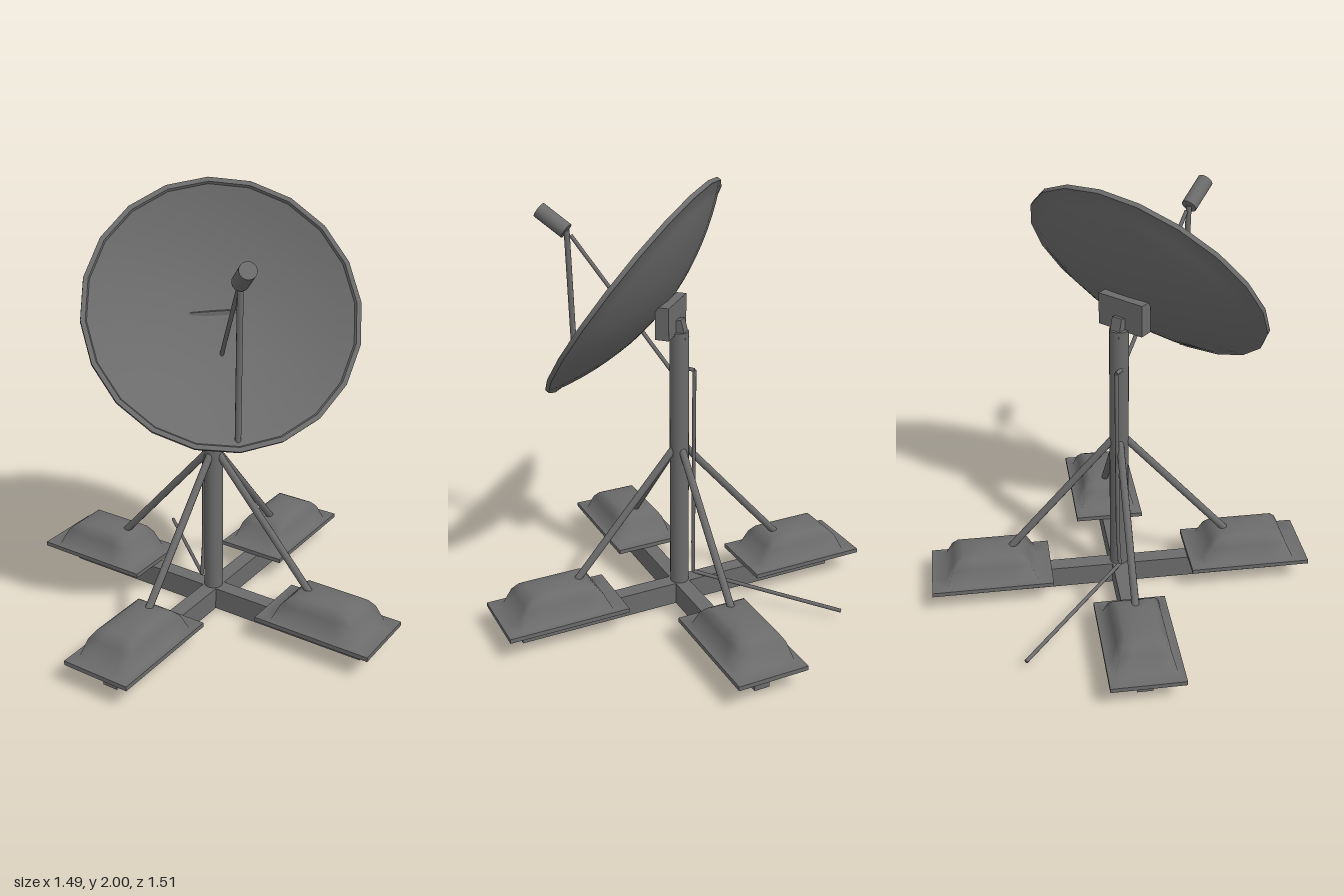
import * as THREE from 'three';
import { toCreasedNormals } from 'three/addons/utils/BufferGeometryUtils.js';

const material = new THREE.MeshStandardMaterial({ color: 0x6b6b6b });
const V = (x, y, z) => new THREE.Vector3(x, y, z);
const TILT = THREE.MathUtils.degToRad(55); // dish axis, from straight up towards the front

function add(parent, name, geometry, x = 0, y = 0, z = 0) {
  const mesh = new THREE.Mesh(geometry, material);
  mesh.name = name;
  mesh.position.set(x, y, z);
  parent.add(mesh);
  return mesh;
}

// Round bar between two points
function bar(parent, name, a, b, radius, sides = 10) {
  const dir = b.clone().sub(a);
  const mesh = add(parent, name, new THREE.CylinderGeometry(radius, radius, dir.length(), sides));
  mesh.position.copy(a).add(b).multiplyScalar(0.5);
  mesh.quaternion.setFromUnitVectors(V(0, 1, 0), dir.normalize());
  return mesh;
}

// Ballast: flat plate flowing smoothly into a tapered, softly domed bag.
// Each layer holds height, half length and half width.
function ballastGeometry() {
  const layers = [
    [0, 0.28, 0.164], [0.02, 0.28, 0.164], [0.02, 0.213, 0.134],
    [0.095, 0.178, 0.112], [0.125, 0.15, 0.092], [0.136, 0.128, 0.077],
  ];
  const top = layers.length - 1;
  const g = new THREE.BoxGeometry(2, top, 2, 4, top, 4);
  const p = g.attributes.position;
  for (let i = 0; i < p.count; i++) {
    const level = Math.round(p.getY(i) + top / 2);
    const [height, length, width] = layers[level];
    const u = p.getX(i), w = p.getZ(i);
    const dome = level === top ? 0.012 * (1 - u * u) * (1 - w * w) : 0;
    p.setXYZ(i, u * length, height + dome, w * width);
  }
  return toCreasedNormals(g, 1.48);
}

// Shallow paraboloid shell with a narrow raised lip
function dishGeometry() {
  const profile = [];
  const steps = 10;
  for (let i = 0; i <= steps; i++) {
    const t = i / steps;
    profile.push(new THREE.Vector2(0.57 * t, -0.164 + 0.144 * t * t));
  }
  profile.push(new THREE.Vector2(0.586, -0.02), new THREE.Vector2(0.586, 0), new THREE.Vector2(0.566, 0));
  for (let i = steps; i >= 0; i--) {
    const t = i / steps;
    profile.push(new THREE.Vector2(0.56 * t, -0.156 + 0.144 * t * t));
  }
  return toCreasedNormals(new THREE.LatheGeometry(profile, 20), 0.6);
}

export function createModel() {
  const model = new THREE.Group();
  model.name = 'satelliteDish';

  // Crossed base beams
  for (const s of [1, -1]) {
    add(model, 'baseBeam', new THREE.BoxGeometry(1.584, 0.105, 0.071), 0, 0.0525, 0.01).rotation.y = s * Math.PI / 4;
  }

  // Four ballast arms: plate with bag, and diagonal brace
  const ballast = ballastGeometry();
  for (let i = 0; i < 4; i++) {
    const arm = new THREE.Group();
    arm.name = 'ballastArm';
    arm.position.z = 0.01;
    arm.rotation.y = Math.PI / 4 + i * Math.PI / 2;
    add(arm, 'ballast', ballast, 0.608, 0.105, 0);
    bar(arm, 'brace', V(0.03, 0.785, 0), V(0.585, 0.15, 0), 0.017);
    model.add(arm);
  }

  // Mast and dish mount, whose top edge shows through the reflector
  add(model, 'mast', new THREE.CylinderGeometry(0.043, 0.043, 1.24, 20), 0, 0.72, 0.01);
  add(model, 'mountBlock', new THREE.BoxGeometry(0.23, 0.145, 0.062), 0, 1.4025, 0.048);
  add(model, 'mountTab', new THREE.BoxGeometry(0.05, 0.09, 0.035), 0, 1.35, 0).rotation.x = 0.25;

  // Reflector
  add(model, 'reflector', dishGeometry(), 0, 1.522, 0.222).rotation.x = TILT;

  // Receiver and its two supports
  bar(model, 'receiver', V(0, 1.82, 0.65), V(0, 1.737, 0.525), 0.036, 16);
  bar(model, 'receiverPost', V(0, 1.74, 0.523), V(0, 1.06, 0.505), 0.013);
  bar(model, 'receiverStay', V(0, 1.72, 0.505), V(0, 1.15, 0.045), 0.009);

  // Cable down the mast and out to the back
  const cable = [V(-0.03, 1.16, -0.01), V(-0.03, 1.155, -0.05), V(-0.035, 0.3, -0.046),
    V(-0.045, 0.13, -0.044), V(-0.047, 0.12, -0.125), V(-0.065, 0.045, -0.752)];
  for (let i = 1; i < cable.length; i++) bar(model, 'cable', cable[i - 1], cable[i], 0.009, 8);

  return model;
}
